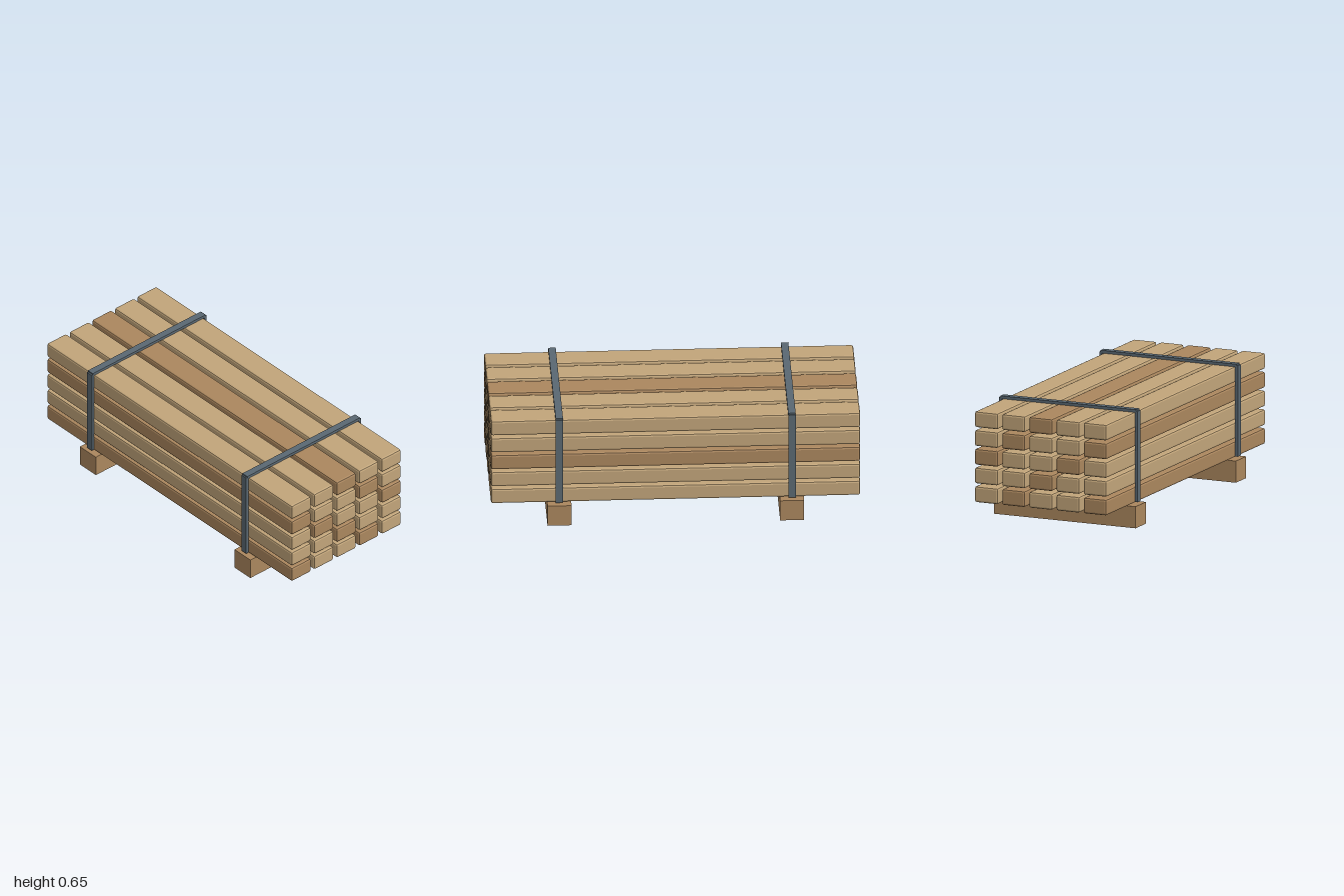
import * as THREE from 'three';
import { RoundedBoxGeometry } from 'three/addons/geometries/RoundedBoxGeometry.js';

const material = (color) => new THREE.MeshStandardMaterial({ color, flatShading: true });

export function createModel() {
  const group = new THREE.Group();
  const lightWood = material(0xc2a57a);
  const darkWood = material(0xab875e);
  const steel = material(0x5a6872);

  const add = (name, geometry, mat, x, y, z) => {
    const mesh = new THREE.Mesh(geometry, mat);
    mesh.name = name;
    mesh.position.set(x, y, z);
    group.add(mesh);
  };

  // Stack of chamfered beams, every third one darker along the diagonals
  const beam = new RoundedBoxGeometry(2, 0.088, 0.14, 1, 0.011);
  for (let row = 0; row < 5; row++) {
    for (let col = 0; col < 5; col++) {
      const wood = (row + col) % 3 === 0 ? darkWood : lightWood;
      add('beam', beam, wood, 0, 0.171 + row * 0.1038, (2 - col) * 0.163);
    }
  }

  // Bearers below, each with a strap over the stack
  const bearer = new THREE.BoxGeometry(0.13, 0.12, 0.85);
  const strapTop = new THREE.BoxGeometry(0.04, 0.016, 0.814);
  const strapSide = new THREE.BoxGeometry(0.04, 0.504, 0.016);
  for (const x of [-0.63, 0.63]) {
    add('bearer', bearer, darkWood, x, 0.06, 0);
    add('strapTop', strapTop, steel, x, 0.638, 0);
    for (const side of [-1, 1]) add('strapSide', strapSide, steel, x, 0.386, side * 0.407);
  }
  return group;
}
